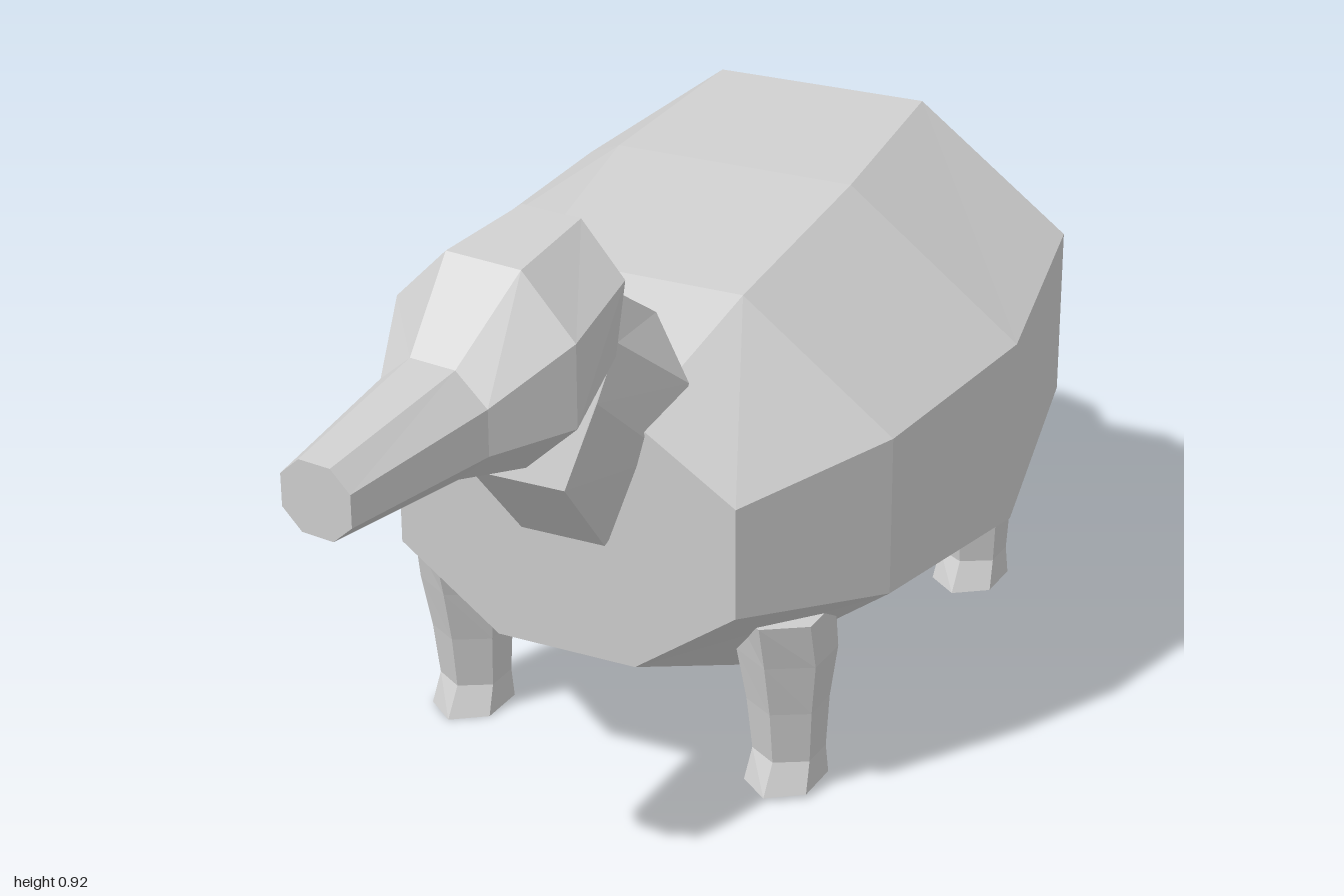
import * as THREE from 'three';

const grey = new THREE.MeshStandardMaterial({ color: 0xcccccc });
grey.name = 'grey hide';
grey.flatShading = true;

// Skin a list of matching rings, closing both ends with flat caps
function loft(name, rings) {
  const pos = [];
  const tri = (a, b, c) => pos.push(...a, ...b, ...c);
  const n = rings[0].length;
  for (let k = 0; k < rings.length - 1; k++) {
    const a = rings[k], b = rings[k + 1];
    for (let i = 0; i < n; i++) {
      const j = (i + 1) % n;
      tri(a[i], a[j], b[i]);
      tri(a[j], b[j], b[i]);
    }
  }
  const first = rings[0], last = rings[rings.length - 1];
  for (let i = 1; i < n - 1; i++) {
    tri(first[0], first[i + 1], first[i]);
    tri(last[0], last[i], last[i + 1]);
  }
  const geo = new THREE.BufferGeometry();
  geo.setAttribute('position', new THREE.Float32BufferAttribute(pos, 3));
  geo.computeVertexNormals();
  const mesh = new THREE.Mesh(geo, grey);
  mesh.name = name;
  return mesh;
}

// Mirrored octagon from four [halfWidth, y, z] levels, top to bottom
function octagon(levels, cx = 0, yaw = 0) {
  const [t, u, l, b] = levels;
  const p = ([w, y, z], s) => [cx + s * w, y, z + s * w * yaw];
  return [p(u, 1), p(t, 1), p(t, -1), p(u, -1), p(l, -1), p(b, -1), p(b, 1), p(l, 1)];
}

// Upright octagon: z, half widths (top, side, bottom) and four heights
const section = (z, a, w, b, y, cx = 0, yaw = 0) =>
  octagon([[a, y[0], z], [w, y[1], z], [w, y[2], z], [b, y[3], z]], cx, yaw);

// Six-sided leg with a flared foot
function leg(name, x, y0, z0) {
  const rows = [ // y, half width, centre z, half depth
    [0, 0.051, 0.297, 0.077],
    [0.045, 0.047, 0.288, 0.056],
    [0.13, 0.053, 0.293, 0.062],
    [0.215, 0.064, 0.297, 0.077],
    [0.288, 0.062, 0.308, 0.085],
  ];
  return loft(name, rows.map(([y, hx, cz, hz]) => {
    const ring = [];
    for (const [sx, sz] of [[0, 1], [1, 0.5], [1, -0.5], [0, -1], [-1, -0.5], [-1, 0.5]])
      ring.push([x + sx * hx, y0 + y, z0 + cz + sz * hz]);
    return ring;
  }));
}

export function createModel() {
  const model = new THREE.Group();
  model.name = 'animal';

  // Barrel body, rump to chest
  model.add(loft('body', [
    section(-0.62, 0.12, 0.28, 0.115, [0.67, 0.56, 0.385, 0.265]),
    section(-0.37, 0.175, 0.42, 0.175, [0.845, 0.665, 0.405, 0.225]),
    section(-0.06, 0.196, 0.47, 0.196, [0.81, 0.605, 0.32, 0.117]),
    section(0.25, 0.172, 0.41, 0.172, [0.74, 0.565, 0.32, 0.145]),
    section(0.475, 0.115, 0.274, 0.113, [0.62, 0.52, 0.35, 0.235]),
  ]));

  // Tapering drooping tail, tip to root
  model.add(loft('tail', [
    section(-1, 0.01, 0.024, 0.01, [0.295, 0.28, 0.26, 0.24]),
    section(-0.83, 0.018, 0.043, 0.018, [0.48, 0.445, 0.405, 0.372]),
    section(-0.58, 0.026, 0.065, 0.026, [0.67, 0.615, 0.56, 0.53]),
  ]));

  // Neck rising out of the chest
  model.add(loft('neck', [
    octagon([[0.08, 0.73, 0.34], [0.158, 0.655, 0.39], [0.146, 0.558, 0.43], [0.068, 0.42, 0.478]]),
    octagon([[0.075, 0.83, 0.49], [0.128, 0.755, 0.515], [0.12, 0.68, 0.56], [0.075, 0.545, 0.575]], -0.015),
  ]));

  // Head and long snout, turned slightly to the right
  model.add(loft('headAndSnout', [
    octagon([[0.05, 0.915, 0.482], [0.127, 0.845, 0.49], [0.122, 0.74, 0.51], [0.05, 0.65, 0.555]], -0.005, 0.13),
    section(0.635, 0.063, 0.151, 0.063, [0.893, 0.808, 0.685, 0.605], -0.023, 0.13),
    section(0.748, 0.038, 0.09, 0.038, [0.783, 0.74, 0.672, 0.625], -0.037, 0.13),
    section(0.992, 0.026, 0.058, 0.026, [0.733, 0.705, 0.658, 0.63], -0.065, 0.13),
  ]));

  // Four legs, standing slightly unevenly
  for (const [side, s] of [['Left', 1], ['Right', -1]]) {
    model.add(leg('front' + side + 'Leg', s * 0.27, s > 0 ? 0.006 : 0, 0));
    model.add(leg('back' + side + 'Leg', s * 0.27, 0.024, -0.7));
  }
  return model;
}
